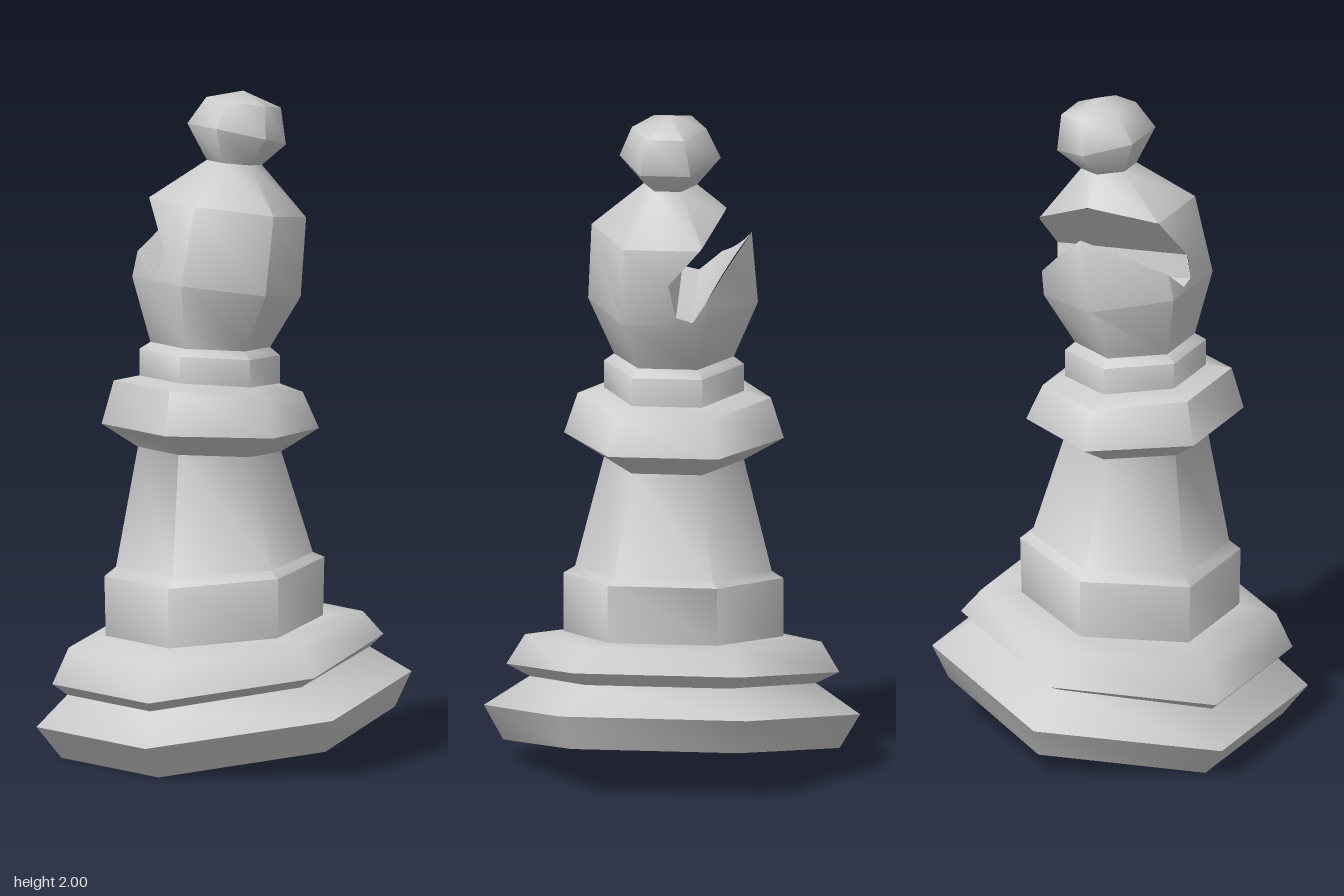
import * as THREE from 'three';
import { toCreasedNormals } from 'three/addons/utils/BufferGeometryUtils.js';

const SIDES = 6;
const CREASE = 1.1;

// One tilted hexagon: half width in x, then its front and back edges as z, y
function ring([rx, zf, yf, zb, yb]) {
  return Array.from({ length: SIDES }, (_, k) => {
    const a = (k / SIDES) * Math.PI * 2;
    const t = Math.sin(a) / Math.sin(Math.PI / 3);
    return [rx * Math.cos(a), (yf + yb) / 2 + ((yf - yb) / 2) * t, (zf + zb) / 2 + ((zf - zb) / 2) * t];
  });
}

function fromTriangles(positions) {
  const g = new THREE.BufferGeometry();
  g.setAttribute('position', new THREE.Float32BufferAttribute(positions, 3));
  return g;
}

// Skin a stack of rings; optional centre points close the ends
function loft(specs, bottom, top) {
  const rings = specs.map(ring), out = [];
  const tri = (...p) => p.forEach((v) => out.push(...v));
  for (let k = 0; k < SIDES; k++) {
    const n = (k + 1) % SIDES;
    for (let i = 0; i + 1 < rings.length; i++) {
      const a = rings[i][k], b = rings[i + 1][k], c = rings[i + 1][n], d = rings[i][n];
      tri(a, b, c);
      tri(a, c, d);
    }
    if (bottom) tri(bottom, rings[0][k], rings[0][n]);
    if (top) tri(top, rings.at(-1)[n], rings.at(-1)[k]);
  }
  return toCreasedNormals(fromTriangles(out), CREASE);
}

// Slot outline as x, y at the front of the head and at its back
const SLOT_Z = [0.22, -0.2];
const SLOT = [
  [[-0.435, 1.812], [-0.405, 1.905]],
  [[-0.055, 1.462], [-0.085, 1.395]],
  [[-0.005, 1.473], [-0.035, 1.41]],
  [[0.004, 1.545], [-0.012, 1.51]],
  [[-0.38, 2.0], [-0.42, 1.985]],
];
const mix = (a, b, t) => a.map((c, i) => c + (b[i] - c) * t);
const slotCorner = (i, z) => mix(SLOT[i][0], SLOT[i][1], (z - SLOT_Z[0]) / (SLOT_Z[1] - SLOT_Z[0]));

// Split a polygon of position and normal corners by one wall of the slot
function split(poly, wall) {
  const side = (v) => {
    const p = slotCorner(wall, v[2]), q = slotCorner(wall + 1, v[2]);
    return (q[0] - p[0]) * (v[1] - p[1]) - (q[1] - p[1]) * (v[0] - p[0]);
  };
  const inside = [], outside = [];
  poly.forEach((v, i) => {
    const w = poly[(i + 1) % poly.length];
    const s = side(v), t = side(w);
    (s >= 0 ? inside : outside).push(v);
    if (s >= 0 !== t >= 0) {
      const m = mix(v, w, s / (s - t));
      inside.push(m);
      outside.push(m);
    }
  });
  return [inside, outside];
}

// Remove the part of a surface lying inside the slot
function cutSlot(geometry) {
  const P = geometry.attributes.position, N = geometry.attributes.normal;
  const pos = [], nor = [];
  const emit = (poly) => {
    for (let i = 1; i + 1 < poly.length; i++) {
      for (const v of [poly[0], poly[i], poly[i + 1]]) {
        pos.push(...v.slice(0, 3));
        nor.push(...v.slice(3));
      }
    }
  };
  for (let i = 0; i < P.count; i += 3) {
    let poly = [i, i + 1, i + 2].map((j) => [P.getX(j), P.getY(j), P.getZ(j), N.getX(j), N.getY(j), N.getZ(j)]);
    for (let wall = 0; wall + 1 < SLOT.length && poly.length; wall++) {
      const [inside, outside] = split(poly, wall);
      emit(outside);
      poly = inside;
    }
  }
  const g = fromTriangles(pos);
  g.setAttribute('normal', new THREE.Float32BufferAttribute(nor, 3));
  return g;
}

// Walls of the slot, spanning the solid from its front to its back
function slotWalls(geometry) {
  const solid = new THREE.Mesh(geometry, new THREE.MeshBasicMaterial({ side: THREE.DoubleSide }));
  const caster = new THREE.Raycaster();
  const span = (wall, t) => {
    const at = (z) => new THREE.Vector3(...mix(slotCorner(wall, z), slotCorner(wall + 1, z), t), z);
    const start = at(0.6);
    caster.set(start, at(-0.6).sub(start).normalize());
    const hits = caster.intersectObject(solid);
    return hits.length > 1 ? [hits[0].point, hits.at(-1).point] : null;
  };
  const out = [];
  const steps = 60;
  for (let wall = 0; wall + 1 < SLOT.length; wall++) {
    let last = null;
    for (let i = 0; i <= steps; i++) {
      const now = span(wall, i / steps);
      if (last && now) {
        for (const v of [last[0], now[0], now[1], last[0], now[1], last[1]]) out.push(v.x, v.y, v.z);
      }
      last = now;
    }
  }
  const g = fromTriangles(out);
  g.computeVertexNormals();
  return g;
}

export function createModel() {
  const model = new THREE.Group();
  model.name = 'chessBishop';
  const grey = new THREE.MeshStandardMaterial({ color: 0xcccccc });
  grey.name = 'lightGrey';
  const add = (name, geometry) => {
    const mesh = new THREE.Mesh(geometry, grey);
    mesh.name = name;
    model.add(mesh);
  };

  // Leaning foot with a hollowed underside, stem and collars
  const body = [
    [0.505, 0.415, 0.0, -0.445, 0.143],
    [0.565, 0.485, 0.095, -0.485, 0.25],
    [0.43, 0.42, 0.195, -0.38, 0.325],
    [0.5, 0.45, 0.225, -0.405, 0.365],
    [0.445, 0.41, 0.335, -0.35, 0.435],
    [0.33, 0.315, 0.37, -0.245, 0.425],
    [0.33, 0.32, 0.55, -0.25, 0.6],
    [0.295, 0.29, 0.578, -0.22, 0.615],
    [0.21, 0.24, 0.94, -0.135, 0.92],
    [0.33, 0.33, 1.01, -0.23, 0.99],
    [0.29, 0.3, 1.14, -0.185, 1.1],
    [0.21, 0.235, 1.155, -0.13, 1.125],
    [0.21, 0.235, 1.235, -0.13, 1.21],
    [0.18, 0.205, 1.255, -0.105, 1.235],
  ];
  add('body', loft(body, [0, 0.165, 0]));

  // Mitre head with its slanting slot
  const neck = [0.08, 0.035, 1.795, -0.11, 1.778];
  const head = loft([
    body.at(-1),
    [0.255, 0.245, 1.45, -0.19, 1.385],
    [0.24, 0.19, 1.685, -0.215, 1.62],
    neck,
  ]);
  add('head', cutSlot(head));
  add('slotWalls', slotWalls(head));

  // Faceted knob on top
  add('finial', loft(
    [neck, [0.152, 0.08, 1.905, -0.172, 1.838], [0.112, 0.025, 1.982, -0.168, 1.947]],
    null, [0, 2, -0.07],
  ));
  return model;
}
